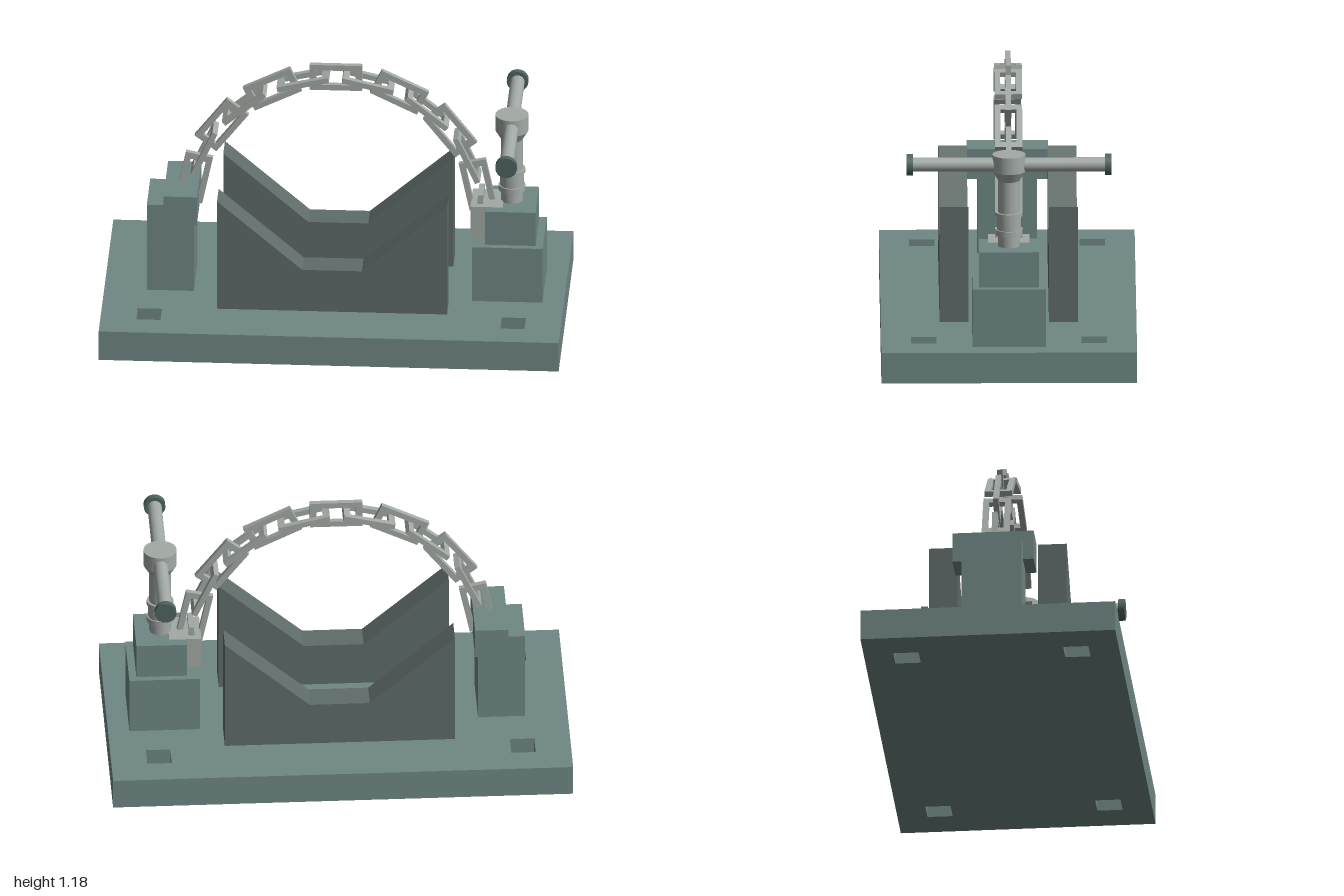
import * as THREE from 'three';

const mat = (color, flatShading = false) => new THREE.MeshStandardMaterial({ color, flatShading });
const paint = mat(0x708884, true), dark = mat(0x5f6c69, true);
const steel = mat(0xa3aaa6, true), steelRound = mat(0xa3aaa6), capPaint = mat(0x4f6461);

function add(parent, name, geometry, material, x = 0, y = 0, z = 0) {
  const mesh = new THREE.Mesh(geometry, material);
  mesh.name = name;
  mesh.position.set(x, y, z);
  parent.add(mesh);
  return mesh;
}

// Box given by its limits in x and y, and its half depth
function block(parent, name, material, x0, x1, y0, y1, halfZ) {
  return add(parent, name, new THREE.BoxGeometry(x1 - x0, y1 - y0, 2 * halfZ), material,
    (x0 + x1) / 2, (y0 + y1) / 2, 0);
}

function rect(Type, w, h, cx = 0, cy = 0) {
  const p = new Type();
  p.moveTo(cx - w / 2, cy - h / 2);
  p.lineTo(cx + w / 2, cy - h / 2);
  p.lineTo(cx + w / 2, cy + h / 2);
  p.lineTo(cx - w / 2, cy + h / 2);
  p.closePath();
  return p;
}

const extrude = (shape, depth) => new THREE.ExtrudeGeometry(shape, { depth, bevelEnabled: false });

export function createModel() {
  const model = new THREE.Group();
  model.name = 'chainVise';
  const baseTop = 0.137;

  // Base plate with four square bolt holes
  const plate = rect(THREE.Shape, 2, 1.11);
  for (const sx of [-1, 1]) for (const sz of [-1, 1])
    plate.holes.push(rect(THREE.Path, 0.106, 0.11, sx * 0.791, sz * 0.37));
  add(model, 'basePlate', extrude(plate, baseTop).rotateX(-Math.PI / 2), paint);

  // Pair of V-shaped cradles
  const cradle = new THREE.Shape([
    [-0.5, baseTop], [0.5, baseTop], [0.5, 0.655], [0.13, 0.335], [-0.13, 0.335], [-0.5, 0.655],
  ].map(([x, y]) => new THREE.Vector2(x, y)));
  for (const [name, z] of [['frontCradle', 0.175], ['backCradle', -0.3]])
    add(model, name, extrude(cradle, 0.125), dark, 0, 0, z);

  // Fixed chain anchor
  block(model, 'anchorPost', paint, -0.815, -0.61, baseTop, 0.547, 0.13);
  block(model, 'anchorHead', paint, -0.74, -0.595, 0.477, 0.612, 0.177);

  // Screw pedestal and sliding chain holder
  block(model, 'pedestal', paint, 0.6, 0.907, baseTop, 0.396, 0.159);
  block(model, 'screwHousing', paint, 0.655, 0.875, 0.396, 0.555, 0.13);
  block(model, 'chainHolder', steel, 0.59, 0.73, 0.415, 0.558, 0.09);

  // Tightening screw: each section has its own vertices so the steps stay sharp
  const screw = new THREE.Group();
  screw.name = 'tighteningScrew';
  screw.position.x = 0.765;
  model.add(screw);
  const sections = [
    ['shaft', 0.55, 0.86, 0.047, 0.047],
    ['lowerCollar', 0.605, 0.63, 0.058, 0.058],
    ['sleeve', 0.63, 0.69, 0.052, 0.052],
    ['upperCollar', 0.69, 0.707, 0.058, 0.058],
    ['headTaper', 0.85, 0.892, 0.047, 0.072],
    ['head', 0.892, 0.966, 0.072, 0.072],
  ];
  for (const [name, y0, y1, r0, r1] of sections)
    add(screw, name, new THREE.CylinderGeometry(r1, r0, y1 - y0, 32), steelRound, 0, (y0 + y1) / 2, 0);

  // Cross handle with end caps
  const rod = (r, length) => new THREE.CylinderGeometry(r, r, length, 32).rotateX(Math.PI / 2);
  add(screw, 'handle', rod(0.031, 0.84), steelRound, 0, 0.92, 0);
  for (const s of [-1, 1])
    add(screw, s > 0 ? 'frontHandleCap' : 'backHandleCap', rod(0.047, 0.028), capPaint, 0, 0.92, s * 0.43);

  // Chain arched over the cradles, every second link turned a quarter
  const chain = new THREE.Group();
  chain.name = 'chain';
  model.add(chain);
  const frame = rect(THREE.Shape, 0.228, 0.12);
  frame.holes.push(rect(THREE.Path, 0.172, 0.069));
  const link = extrude(frame, 0.024).translate(0, 0, -0.012);
  const radius = 0.63, step = THREE.MathUtils.degToRad(13);
  for (let i = -7; i <= 7; i++) {
    const a = i * step;
    const mesh = add(chain, 'chainLink', link, steel,
      radius * Math.sin(a), 0.495 + radius * Math.cos(a), 0);
    mesh.rotation.set(i % 2 ? Math.PI / 2 : 0, 0, -a, 'ZYX');
  }
  return model;
}
